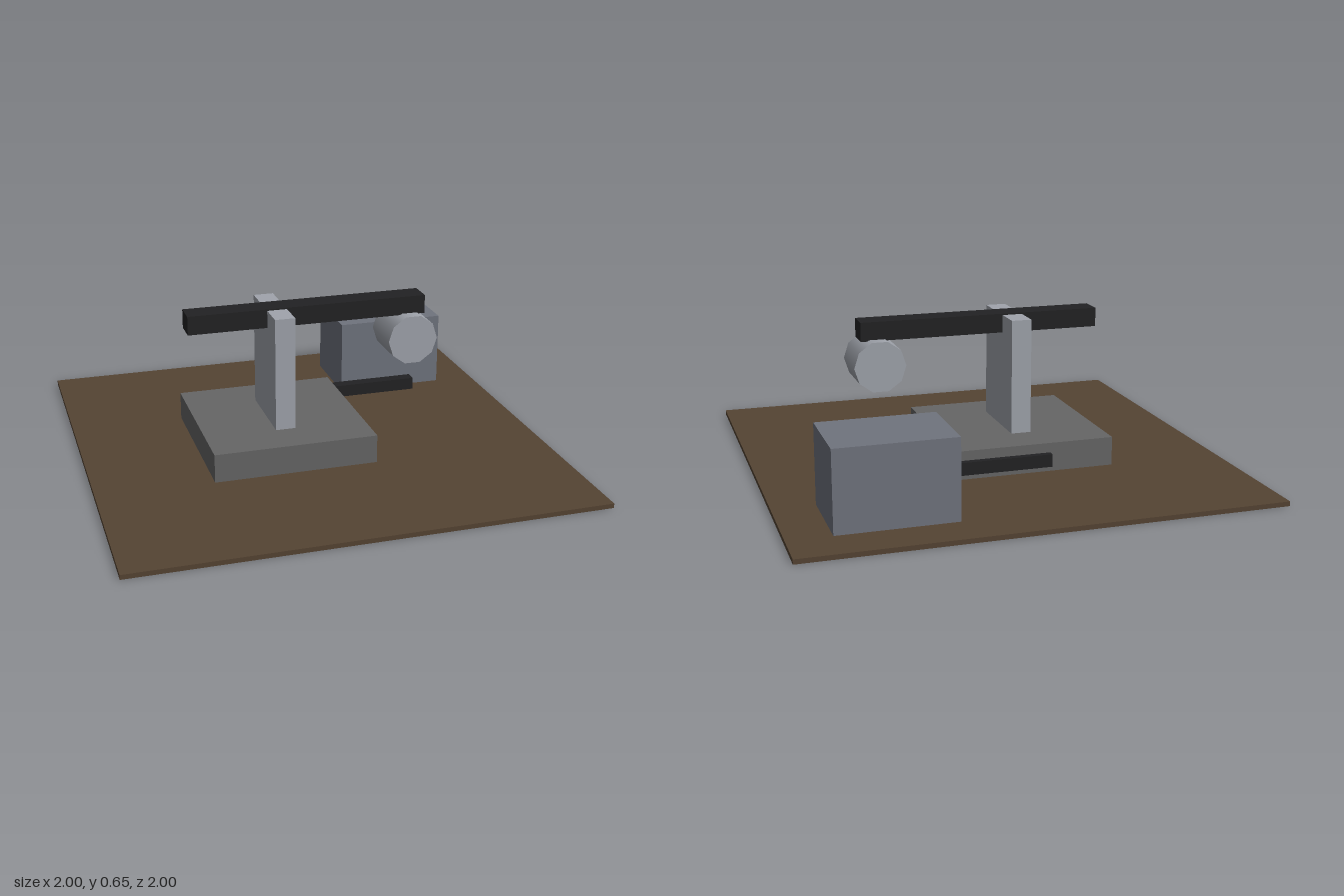
import * as THREE from 'three';

// Box given by its minimum and maximum corners
function block(name, color, [x0, y0, z0], [x1, y1, z1]) {
  const mesh = new THREE.Mesh(
    new THREE.BoxGeometry(x1 - x0, y1 - y0, z1 - z0),
    new THREE.MeshStandardMaterial({ color })
  );
  mesh.position.set((x0 + x1) / 2, (y0 + y1) / 2, (z0 + z1) / 2);
  mesh.name = name;
  return mesh;
}

export function createModel() {
  const model = new THREE.Group();
  model.name = 'beamMachine';

  // Ground slab, pedestal and upright
  model.add(
    block('ground', 0x554433, [-1, 0, -1], [1, 0.02, 1]),
    block('pedestal', 0x666666, [-0.5, 0.002, -0.357], [0.213, 0.145, 0.357]),
    block('upright', 0xa0a4ac, [-0.188, 0.145, -0.18], [-0.1, 0.647, 0.18])
  );

  // Rocking beam through the upright, and the low rod behind the pedestal
  model.add(
    block('beam', 0x222224, [-0.535, 0.57, -0.053], [0.532, 0.653, 0.053]),
    block('rod', 0x222224, [-0.216, 0.047, -0.385], [0.639, 0.103, -0.332])
  );

  // Housing in the back corner
  model.add(block('housing', 0x70747e, [0.32, 0.002, -0.822], [0.818, 0.36, -0.467]));

  // Ten-sided drum hanging under the beam end, axis along z
  const drumGeometry = new THREE.CylinderGeometry(0.113, 0.113, 0.213, 10, 1, false, Math.PI / 2);
  drumGeometry.rotateX(Math.PI / 2);
  const drum = new THREE.Mesh(drumGeometry, new THREE.MeshStandardMaterial({ color: 0xa0a4ac }));
  drum.position.set(0.461, 0.468, 0);
  drum.name = 'drum';
  model.add(drum);

  return model;
}
